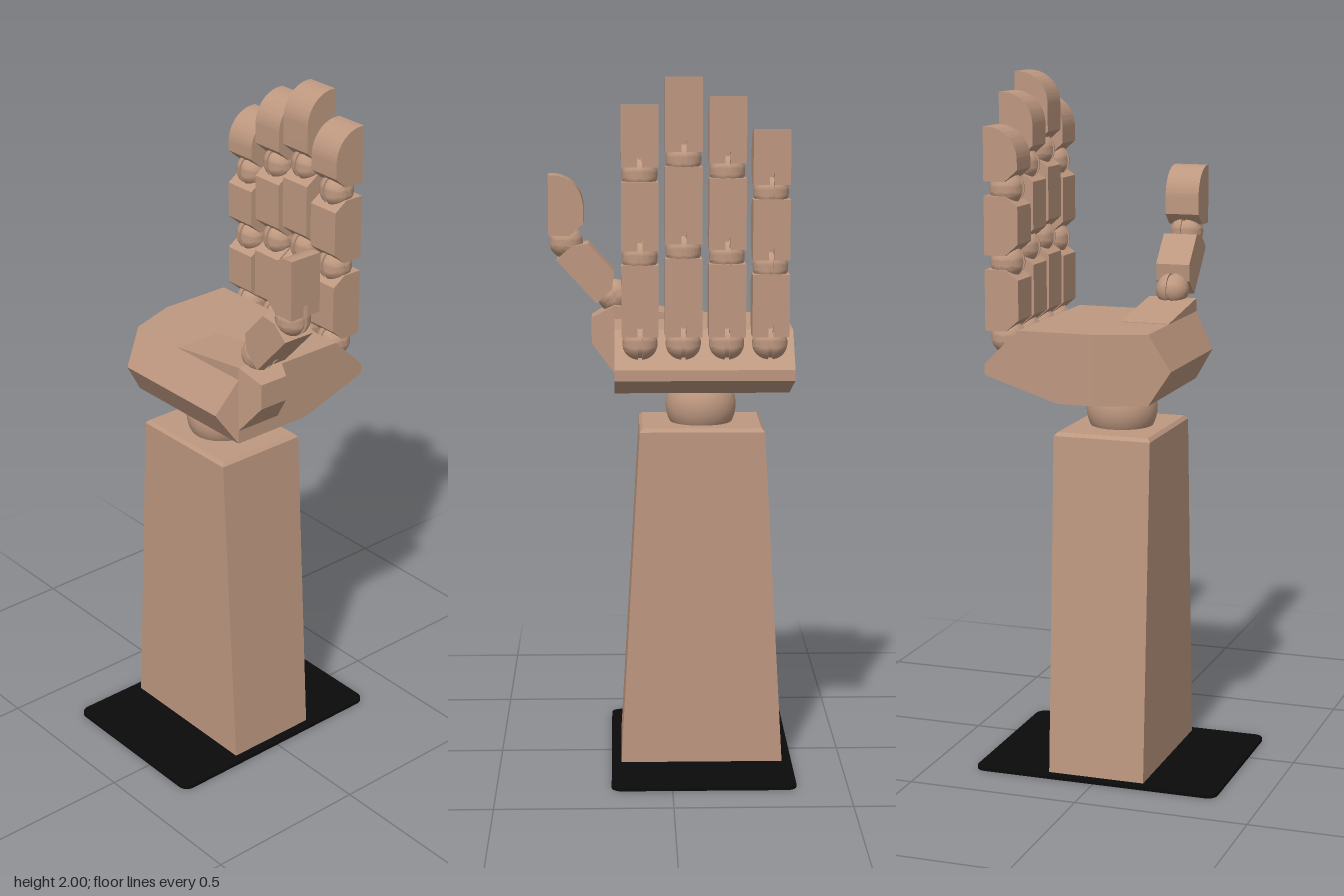
import * as THREE from 'three';
import { mergeGeometries, toCreasedNormals } from 'three/addons/utils/BufferGeometryUtils.js';
import { ConvexGeometry } from 'three/addons/geometries/ConvexGeometry.js';

const tan = new THREE.MeshStandardMaterial({ color: 0xbe9880 });
tan.name = 'tan wood';
const black = new THREE.MeshStandardMaterial({ color: 0x0b0b0b });
black.name = 'black plate';

const V = (x, y, z) => new THREE.Vector3(x, y, z);

function add(parent, geometry, name, material = tan) {
  const mesh = new THREE.Mesh(geometry, material);
  mesh.name = name;
  parent.add(mesh);
  return mesh;
}

// Joint ball with a narrow groove running around its x axis
function jointBall(r) {
  const pts = [];
  const a = 0.006 / r;
  for (let i = 0; i <= 12; i++) {
    const t = -Math.PI / 2 + (Math.PI / 2 - a) * i / 12;
    pts.push(new THREE.Vector2(Math.max(0, r * Math.cos(t)), r * Math.sin(t)));
  }
  const upper = pts.map(p => new THREE.Vector2(p.x, -p.y)).reverse();
  const groove = [new THREE.Vector2(r * 0.86, -0.006), new THREE.Vector2(r * 0.86, 0.006)];
  const g = new THREE.LatheGeometry([...pts, ...groove, ...upper], 32);
  return toCreasedNormals(g.rotateZ(Math.PI / 2), 0.6);
}

// Side profile of a finger bone; y = 0 is the lower joint, +u is the palm side
function boneShape(length, isTip, slot) {
  const h = 0.05, s = new THREE.Shape();
  s.moveTo(h, 0.055);
  if (isTip) {
    s.lineTo(h, length - 0.09);
    s.absellipse(-0.04, length - 0.09, 0.09, 0.09, 0, Math.PI / 2, false);
    s.lineTo(-h, length);
  } else {
    s.lineTo(h, length - 0.045);
    s.lineTo(0.01, length - 0.018);
    s.lineTo(-h, length - 0.018);
  }
  if (slot) {
    s.lineTo(-h, 0.055);
    s.lineTo(-0.01, 0.055);
    s.lineTo(-0.01, 0.022);
  } else {
    s.lineTo(-h, 0.022);
  }
  s.lineTo(0.012, 0.022);
  s.closePath();
  return s;
}

// Two cheeks and a slotted core make one bone
function bone(length, isTip) {
  const slices = [[-0.051, 0.044, false], [-0.007, 0.014, true], [0.007, 0.044, false]];
  const parts = slices.map(([start, depth, slot]) =>
    new THREE.ExtrudeGeometry(boneShape(length, isTip, slot), { depth, bevelEnabled: false, curveSegments: 14 })
      .translate(0, 0, start));
  return toCreasedNormals(mergeGeometries(parts).rotateY(-Math.PI / 2), 0.5);
}

function createFinger(name, x, joints, top) {
  const finger = new THREE.Group();
  finger.name = name;
  finger.position.set(x, 0, -0.275);
  joints.forEach((y, i) => {
    const isTip = i === joints.length - 1;
    add(finger, jointBall(0.049), 'knuckle').position.y = y;
    add(finger, bone((isTip ? top : joints[i + 1]) - y, isTip), isTip ? 'fingertip' : 'fingerBone').position.y = y;
  });
  return finger;
}

function createPlate() {
  const w = 0.263, d = 0.364, r = 0.03;
  const s = new THREE.Shape();
  s.moveTo(w, d - r);
  s.absarc(w - r, d - r, r, 0, Math.PI / 2);
  s.absarc(-w + r, d - r, r, Math.PI / 2, Math.PI);
  s.absarc(-w + r, -d + r, r, Math.PI, Math.PI * 1.5);
  s.absarc(w - r, -d + r, r, Math.PI * 1.5, Math.PI * 2);
  // Screw holes
  for (const x of [-0.19, 0.19]) {
    s.holes.push(new THREE.Path().absarc(x, 0, 0.026, 0, Math.PI * 2, true));
  }
  return new THREE.ExtrudeGeometry(s, { depth: 0.01, bevelEnabled: false, curveSegments: 10 })
    .rotateX(-Math.PI / 2).translate(-0.09, 0, 0);
}

function createForearm() {
  const pts = [];
  // Half width, half depth and height of each ring
  for (const [w, d, y] of [[0.235, 0.143, 0.01], [0.179, 0.143, 0.992], [0.17, 0.134, 1.002]]) {
    for (const sx of [-1, 1]) for (const sz of [-1, 1]) pts.push(V(-0.09 + sx * w, y, sz * d));
  }
  return new ConvexGeometry(pts);
}

function createPalm() {
  const profile = [[0.204, 1.195], [0.145, 1.3], [0, 1.3], [-0.22, 1.3], [-0.322, 1.2],
    [-0.322, 1.17], [-0.105, 1.1], [0, 1.1], [0.145, 1.1]];
  const pts = [];
  for (const [z, y] of profile) {
    pts.push(V(-0.34 + 0.07 * Math.max(0, z) / 0.204, y, z));
    pts.push(V(z > 0.15 ? 0.13 : 0.16, y, z));
  }
  return new ConvexGeometry(pts);
}

export function createModel() {
  const model = new THREE.Group();
  model.name = 'mannequinHand';

  add(model, createPlate(), 'basePlate', black);
  add(model, createForearm(), 'forearm');
  add(model, new THREE.SphereGeometry(0.102, 40, 28), 'wristBall').position.set(-0.09, 1.05, 0);
  add(model, createPalm(), 'palm');

  // Raised wedge at the thumb root and its tapered outer block
  const wedge = [];
  for (const z of [0, 0.145]) wedge.push(V(-0.105, 1.302, z), V(0.16, 1.338, z), V(-0.105, 1.25, z), V(0.16, 1.25, z));
  add(model, new ConvexGeometry(wedge), 'thumbPad');
  const block = [];
  for (const [x, z0, z1, y0, y1] of [[0.16, 0, 0.145, 1.14, 1.338], [0.226, 0.028, 0.118, 1.225, 1.3]]) {
    for (const z of [z0, z1]) block.push(V(x, y0, z), V(x, y1, z));
  }
  add(model, new ConvexGeometry(block), 'thumbRoot');

  // Four fingers: x, joint heights, tip height
  const fingers = [
    ['littleFinger', -0.271, [1.27, 1.482, 1.687], 1.86],
    ['ringFinger', -0.151, [1.27, 1.511, 1.745], 1.948],
    ['middleFinger', -0.031, [1.27, 1.526, 1.776], 2.0],
    ['indexFinger', 0.089, [1.27, 1.507, 1.735], 1.925]
  ];
  for (const f of fingers) model.add(createFinger(...f));

  // Thumb: a leaning bone and an upright tip, both bending towards the palm
  const thumb = new THREE.Group();
  thumb.name = 'thumb';
  model.add(thumb);
  for (const [x, y, length, lean, isTip] of [[0.16, 1.36, 0.21, 0.74, false], [0.299, 1.517, 0.195, 0, true]]) {
    const part = new THREE.Group();
    part.name = isTip ? 'thumbEnd' : 'thumbBase';
    part.position.set(x, y, 0.071);
    part.rotation.set(0, -Math.PI / 2, -lean, 'ZYX');
    add(part, jointBall(0.049), 'thumbKnuckle');
    add(part, bone(length, isTip), isTip ? 'thumbTip' : 'thumbBone');
    thumb.add(part);
  }
  return model;
}
